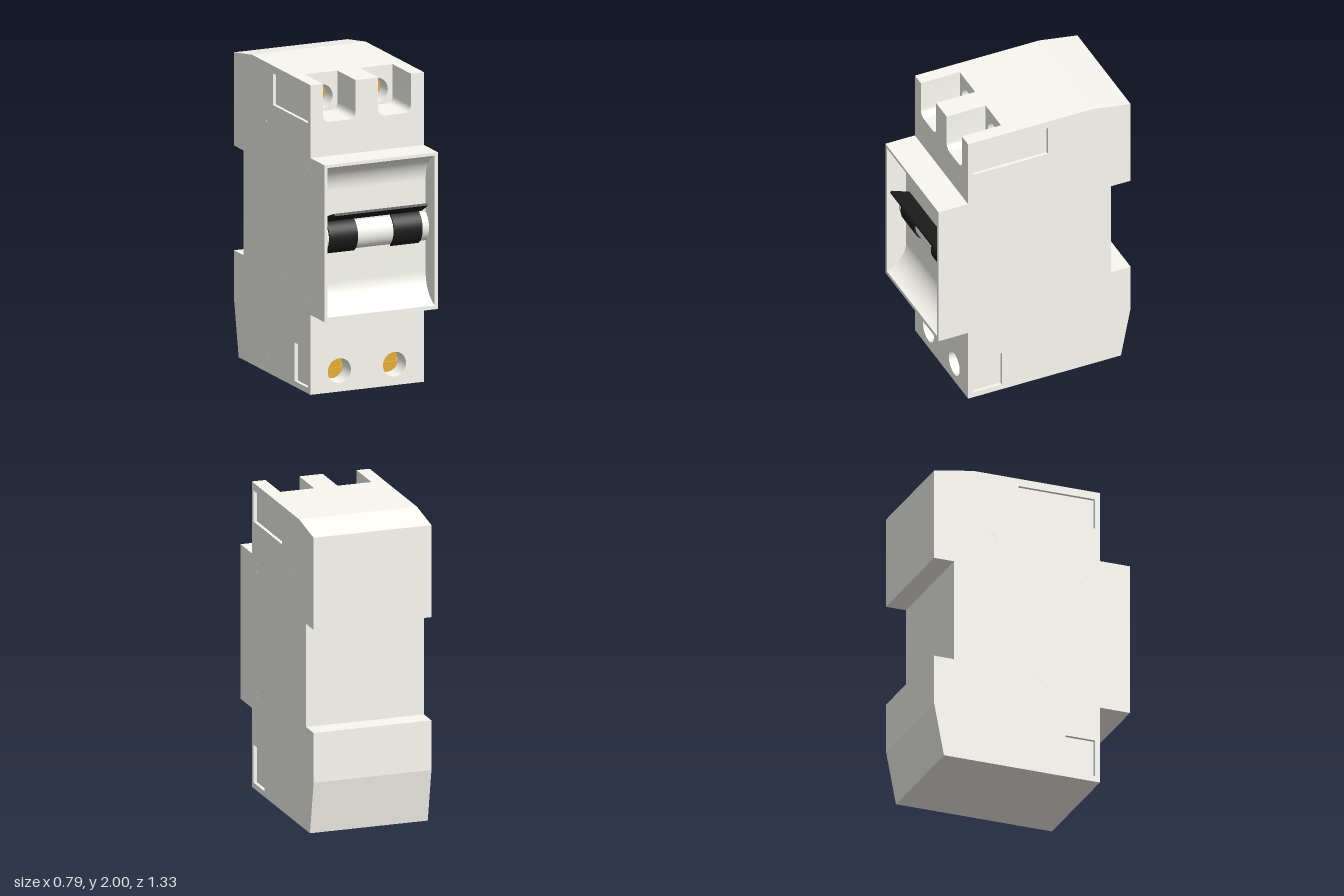
import * as THREE from 'three';
import { toCreasedNormals } from 'three/addons/utils/BufferGeometryUtils.js';

const W = 0.393;      // half width
const PLATE = 0.022;  // side plate thickness
const INNER = W - PLATE;
const FRONT = 0.664;

const mat = (color) => new THREE.MeshStandardMaterial({ color });
const offWhite = mat(0xf9f8f2);
const black = mat(0x1c1c1c);
const gold = mat(0xe5ad32);

function add(parent, name, geometry, material) {
  const mesh = new THREE.Mesh(geometry, material);
  mesh.name = name;
  parent.add(mesh);
}

const poly = (pts) => new THREE.Shape(pts.map(([a, b]) => new THREE.Vector2(a, b)));

function rectPath(a0, b0, a1, b1) {
  const p = new THREE.Path();
  p.moveTo(a0, b0).lineTo(a1, b0).lineTo(a1, b1).lineTo(a0, b1).closePath();
  return p;
}

function circlePath(x, y, r) {
  const p = new THREE.Path();
  p.absarc(x, y, r, 0, Math.PI * 2);
  return p;
}

function extrude(shape, depth) {
  return new THREE.ExtrudeGeometry(shape, { depth, bevelEnabled: false, curveSegments: 36 });
}

// Extrude a (z, y) outline across x from x0 to x1
function extrudeX(shape, x0, x1) {
  return toCreasedNormals(extrude(shape, x1 - x0).rotateY(-Math.PI / 2).translate(x1, 0, 0), 0.14);
}

// Extrude an (x, y) outline from z0 to z1
function extrudeZ(shape, z0, z1) {
  return toCreasedNormals(extrude(shape, z1 - z0).translate(0, 0, z0), 0.14);
}

// Cylinder lying along x
function cylX(r, length, x, y, z, segments = 48) {
  return new THREE.CylinderGeometry(r, r, length, segments).rotateZ(Math.PI / 2).translate(x, y, z);
}

// Rear outline with the rail notch, from bottom to top
const BACK = [[-0.597, 0], [-FRONT, 0.35], [-FRONT, 0.676], [-0.528, 0.676],
  [-0.528, 1.352], [-FRONT, 1.352], [-FRONT, 1.955], [-0.4, 2]];

function sidePlate() {
  const shape = poly([...BACK, [0.46, 2], [0.46, 1.53], [FRONT, 1.53], [FRONT, 0.517], [0.46, 0.517], [0.46, 0]]);
  shape.holes.push(rectPath(-0.092, 1.747, 0.427, 1.95), rectPath(0.227, 0.037, 0.427, 0.284));
  return shape;
}

// Core outline, with the concave window hollow at the front
function coreOutline() {
  const s = new THREE.Shape();
  const r = 0.2, cz = 0.73;
  const sweep = Math.acos((cz - FRONT) / r);
  const rise = r * Math.sin(sweep);
  s.moveTo(...BACK[0]);
  BACK.slice(1).forEach((p) => s.lineTo(...p));
  s.lineTo(0.06, 2).lineTo(0.06, 1.53).lineTo(FRONT, 1.53);
  s.absarc(cz, 1.51 - rise, r, Math.PI - sweep, Math.PI, false);
  s.absarc(cz, 0.543 + rise, r, Math.PI, Math.PI + sweep, false);
  s.lineTo(FRONT, 0.517).lineTo(0.33, 0.517).lineTo(0.33, 0);
  s.closePath();
  return s;
}

// Top block outline with two round-cornered wire slots open at the top
function slottedBlock() {
  const s = new THREE.Shape();
  const r = 0.05, floor = 1.75;
  s.moveTo(-INNER, 1.53).lineTo(INNER, 1.53).lineTo(INNER, 2);
  for (const [right, left] of [[0.302, 0.076], [-0.08, -0.306]]) {
    s.lineTo(right, 2).lineTo(right, floor + r);
    s.quadraticCurveTo(right, floor, right - r, floor);
    s.lineTo(left + r, floor);
    s.quadraticCurveTo(left, floor, left, floor + r);
    s.lineTo(left, 2);
  }
  s.lineTo(-INNER, 2).closePath();
  return s;
}

function drilledBlock(y0, y1, holeY) {
  const s = poly([[-INNER, y0], [INNER, y0], [INNER, y1], [-INNER, y1]]);
  for (const x of [-0.193, 0.189]) s.holes.push(circlePath(x, holeY, 0.08));
  return s;
}

// Slotted screw head facing +z
function screw(x, y, z, angle) {
  const g = new THREE.Group();
  g.name = 'terminalScrew';
  const r = 0.074;
  const a = Math.asin(0.01 / r);
  add(g, 'screwBase', new THREE.CylinderGeometry(r, r, 0.02, 48).rotateX(Math.PI / 2).translate(0, 0, 0.01), gold);
  for (const start of [a, Math.PI + a]) {
    const s = new THREE.Shape();
    s.absarc(0, 0, r, start, start + Math.PI - 2 * a);
    s.closePath();
    add(g, 'screwHeadHalf', extrudeZ(s, 0.02, 0.035), gold);
  }
  g.position.set(x, y, z);
  g.rotation.z = angle;
  return g;
}

export function createModel() {
  const model = new THREE.Group();
  model.name = 'circuitBreaker';

  // Housing
  add(model, 'housingCore', extrudeX(coreOutline(), -INNER, INNER), offWhite);
  add(model, 'leftSidePlate', extrudeX(sidePlate(), INNER, W), offWhite);
  add(model, 'rightSidePlate', extrudeX(sidePlate(), -W, -INNER), offWhite);

  // Terminal blocks
  add(model, 'topSlotBlock', extrudeZ(slottedBlock(), 0.19, 0.46), offWhite);
  add(model, 'topScrewBlock', extrudeZ(drilledBlock(1.53, 2, 1.843), 0.06, 0.19), offWhite);
  add(model, 'bottomScrewBlock', extrudeZ(drilledBlock(0, 0.517, 0.135), 0.33, 0.46), offWhite);
  for (const x of [-0.193, 0.189]) {
    model.add(screw(x, 1.843, 0.055, 1.2));
    model.add(screw(x, 0.135, 0.315, 0));
  }

  // Rivets, nearly flush with both sides
  const rivets = [[1.44, 0.395], [1.62, -0.235], [0.61, 0.405], [0.675, 0.08], [0.115, -0.21]];
  for (const side of [-1, 1]) {
    for (const [y, z] of rivets) {
      add(model, 'rivet', cylX(0.045, 0.02, side * (W - 0.0097), y, z, 24), offWhite);
    }
  }

  // Switch drum and toggle
  add(model, 'switchDrum', cylX(0.107, 2 * INNER, 0, 1.025, 0.474), offWhite);
  const toggle = new THREE.Group();
  toggle.name = 'toggle';
  for (const side of [-1, 1]) {
    add(toggle, 'toggleLeg', cylX(0.118, 0.197, side * 0.2235, 1.025, 0.474), black);
  }
  const blade = poly([[0.49, 1.11], [0.55, 1.134], [0.585, 1.142], [FRONT, 1.193], [0.657, 1.207], [0.57, 1.174], [0.49, 1.145]]);
  add(toggle, 'toggleBlade', extrudeX(blade, -0.322, 0.322), black);
  model.add(toggle);

  return model;
}
